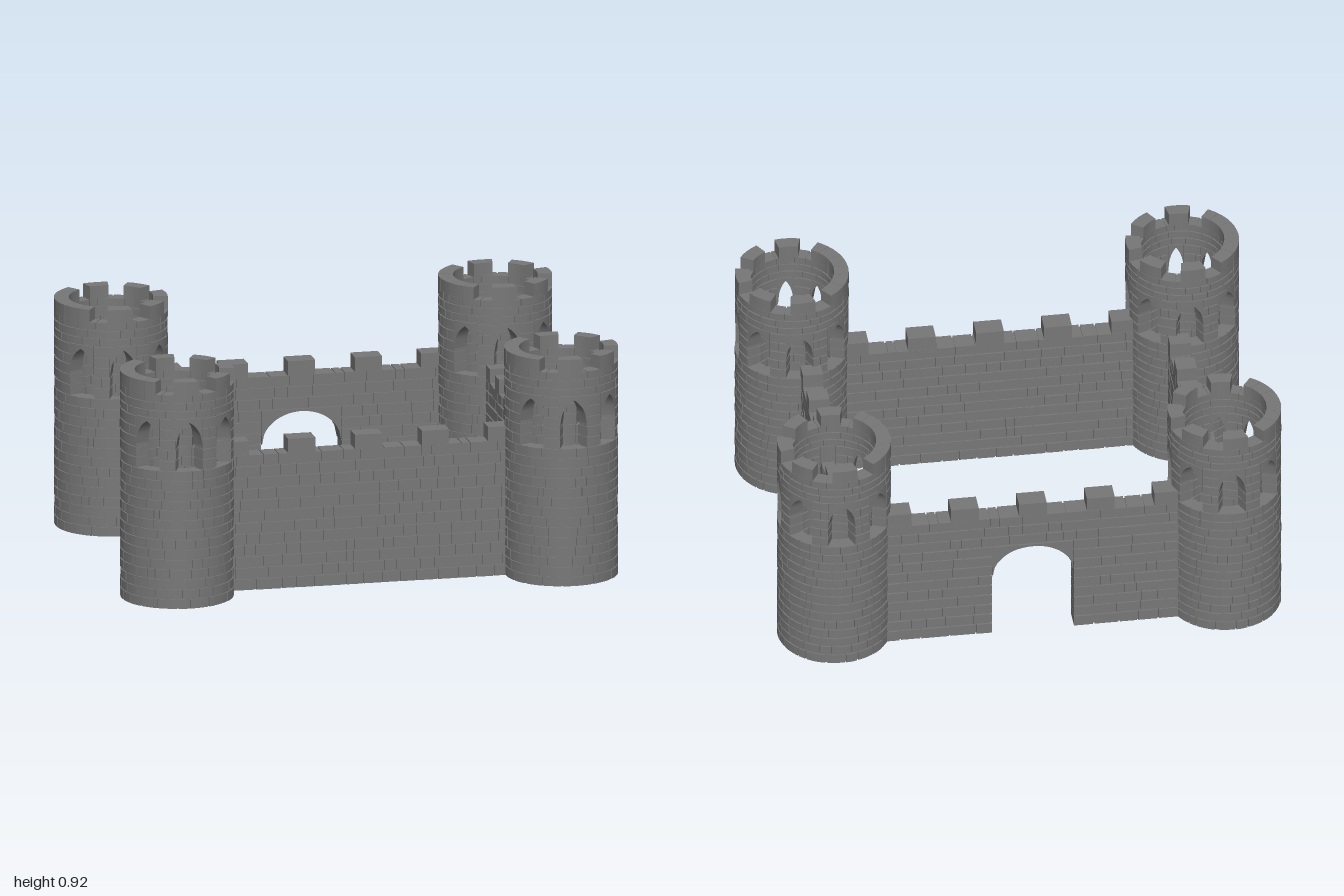
import * as THREE from 'three';
import { mergeGeometries } from 'three/addons/utils/BufferGeometryUtils.js';

const stone = new THREE.MeshStandardMaterial({ color: 0x777777 });
const GAP = 0.006;      // joint between stones
const RECESS = 0.007;   // depth of the joints

let seed = 7;
const rand = () => (seed = (seed * 16807) % 2147483647) / 2147483647;

const mesh = (geometry, name) => {
  const m = new THREE.Mesh(geometry, stone);
  m.name = name;
  return m;
};

// One stone from u0 to u1 along the course; bottom may be a rule of u.
// place(u, d) gives [x, z] for a position along the course and depth d (-0.5 to 0.5).
function brick(u0, u1, bottom, top, place, n = 1, depth = 1 + (rand() - 0.5) * 0.08) {
  const g = new THREE.BoxGeometry(1, 1, 1, n, 1, 1);
  const p = g.attributes.position;
  for (let i = 0; i < p.count; i++) {
    const u = u0 + (u1 - u0) * (p.getX(i) + 0.5);
    const low = typeof bottom === 'function' ? bottom(u) : bottom;
    const y = p.getY(i) < 0 ? low : top;
    const [x, z] = place(u, p.getZ(i) * depth);
    p.setXYZ(i, x, y, z);
  }
  g.computeVertexNormals();
  return g;
}

// A course of stones of uneven length
function course(out, u0, u1, y0, y1, size, place, n, gap) {
  const count = Math.max(1, Math.round((u1 - u0) / size));
  const step = (u1 - u0) / count;
  let a = u0;
  for (let i = 1; i <= count; i++) {
    const b = i === count ? u1 : u0 + step * (i + (rand() - 0.5) * 0.7);
    out.push(brick(a + gap / 2, b - gap / 2, y0 + (y0 > 0 ? GAP / 2 : 0), y1 - GAP / 2, place, n));
    a = b;
  }
}

// ---- Towers (angles run from +z towards +x) ----
const R_OUT = 0.225, R_IN = 0.165, SILL = 0.56, SPRING = 0.655, APEX = 0.755;
const BAND = 0.77, PARAPET = 0.87, TOP = 0.92;
const BAY = Math.PI / 4, HALF = 0.212, SPLAY = 0.06;

const ringPlace = (a, d) => {
  const r = (R_OUT + R_IN) / 2 + d * (R_OUT - R_IN - 0.003);
  return [r * Math.sin(a), r * Math.cos(a)];
};

// Like ringPlace, but a part of half-angle half about mid widens outwards by splay
const splayed = (mid, half, splay) => (a, d) =>
  ringPlace(mid + (a - mid) * (1 + (splay * d) / half), d);

// Recessed ring behind the joints
function ringCore(y0, y1) {
  const a = R_IN + RECESS, b = R_OUT - RECESS;
  const pts = [[a, y0], [b, y0], [b, y0], [b, y1], [b, y1], [a, y1], [a, y1], [a, y0]];
  return new THREE.LatheGeometry(pts.map(([x, y]) => new THREE.Vector2(x, y)), 48);
}

function makeTowerParts() {
  const rings = [], piers = [], arches = [], merlons = [];
  const courses = (y0, y1, rows) => {
    for (let r = 0; r < rows; r++) {
      const h = (y1 - y0) / rows, start = rand() * 0.3;
      course(rings, start, start + Math.PI * 2, y0 + r * h, y0 + (r + 1) * h, 0.29, ringPlace, 3, 0.026);
    }
  };
  courses(0, SILL, 14);
  courses(BAND, PARAPET, 3);

  // Courses of a pier between windows, with a recessed core
  const pier = (mid, half) => {
    const place = splayed(mid, half, -SPLAY);
    const h = (BAND - SILL) / 5, n = Math.ceil(half * 30);
    for (let r = 0; r < 5; r++) {
      course(piers, mid - half, mid + half, SILL + r * h, SILL + (r + 1) * h, r % 2 ? 0.18 : 0.3, place, 3, 0.012);
    }
    piers.push(brick(mid - half + 0.02, mid + half - 0.02, SILL - 0.01, BAND + 0.01, place, n, 0.78));
  };
  const pierHalf = BAY / 2 - HALF;
  for (let i = -1; i <= 4; i++) pier((i + 0.5) * BAY, pierHalf);
  // The -x side is closed
  pier(-Math.PI / 2, BAY - HALF);

  // Pointed arch curve over each window
  const archY = (t) =>
    SPRING + (APEX - SPRING) * Math.sqrt(Math.max(0, 4 - (Math.abs(t) + 1) ** 2)) / Math.sqrt(3);
  for (let i = -1; i <= 5; i++) {
    const mid = i * BAY;
    const place = splayed(mid, HALF, SPLAY);
    const head = (u) => archY((u - mid) / HALF);
    for (const s of [-1, 0]) {
      arches.push(brick(mid + s * HALF, mid + (s + 1) * HALF, head, BAND, place, 8));
    }
  }

  // Five merlons around +x and a long one on the closed side
  for (let k = -2; k <= 2; k++) {
    const c = Math.PI / 2 + k * 0.815;
    merlons.push(brick(c - 0.227, c + 0.227, PARAPET - GAP, TOP, ringPlace, 4));
  }
  course(merlons, -Math.PI / 2 - 0.96, -Math.PI / 2 + 0.96, PARAPET - GAP, TOP, 0.32, ringPlace, 3, 0.008);

  return {
    shaftCore: ringCore(0, SILL - 0.003),
    parapetCore: ringCore(BAND, PARAPET - 0.005),
    towerStones: mergeGeometries(rings),
    windowPiers: mergeGeometries(piers),
    windowArches: mergeGeometries(arches),
    towerMerlons: mergeGeometries(merlons),
  };
}

// ---- Curtain walls ----
const WALL_H = 0.55, ROWS = 12, THICK = 0.08;
const GATE = 0.16, GATE_SPRING = 0.27, GATE_RISE = 0.13;
const wallPlace = (u, d) => [u, d * THICK];

function makeWall(name, half, pitch, merlonWidth, gate) {
  const wall = new THREE.Group();
  wall.name = name;
  const stones = [], merlons = [];
  const h = WALL_H / ROWS, lintelRows = 9;

  for (let r = 0; r < ROWS; r++) {
    const spans = gate && r < lintelRows ? [[-half, -GATE], [GATE, half]] : [[-half, half]];
    for (const [a, b] of spans) course(stones, a, b, r * h, (r + 1) * h, 0.08, wallPlace, 1, GAP);
  }
  // Stones over the gate, cut to its arch
  if (gate) {
    const archY = (u) => GATE_SPRING + GATE_RISE * Math.sqrt(Math.max(0, 1 - (u / GATE) ** 2));
    for (let i = 0; i < 6; i++) {
      const a = -GATE + (i * GATE) / 3;
      stones.push(brick(a, a + GATE / 3, archY, lintelRows * h - GAP / 2, wallPlace, 6));
    }
  }
  for (let i = -2; i <= 2; i++) {
    const c = Math.max(-half + merlonWidth / 2, Math.min(half - merlonWidth / 2, i * pitch));
    merlons.push(brick(c - merlonWidth / 2, c + merlonWidth / 2, WALL_H - GAP, 0.605, wallPlace));
  }

  // Recessed core, open at the gate
  const s = new THREE.Shape();
  s.moveTo(-half, 0);
  if (gate) {
    const g = GATE + RECESS;
    s.lineTo(-g, 0);
    s.lineTo(-g, GATE_SPRING);
    s.absellipse(0, GATE_SPRING, g, GATE_RISE + RECESS, Math.PI, 0, true);
    s.lineTo(g, 0);
  }
  s.lineTo(half, 0);
  s.lineTo(half, WALL_H - RECESS);
  s.lineTo(-half, WALL_H - RECESS);
  const depth = THICK - 2 * RECESS;
  const core = new THREE.ExtrudeGeometry(s, { depth, bevelEnabled: false, curveSegments: 24 });
  core.translate(0, 0, -depth / 2);

  wall.add(mesh(core, 'wallCore'), mesh(mergeGeometries(stones), 'wallStones'),
    mesh(mergeGeometries(merlons), 'wallMerlons'));
  return wall;
}

export function createModel() {
  seed = 7;
  const castle = new THREE.Group();
  castle.name = 'castle';

  // Four corner towers
  const parts = makeTowerParts();
  for (const [sx, side] of [[1, 'Left'], [-1, 'Right']]) {
    for (const [sz, end] of [[1, 'front'], [-1, 'back']]) {
      const tower = new THREE.Group();
      tower.name = `${end}${side}Tower`;
      for (const [name, geometry] of Object.entries(parts)) tower.add(mesh(geometry, name));
      tower.position.set(sx * 0.775, 0, sz * 0.575);
      castle.add(tower);
    }
  }

  // Front wall, back wall with the gate, and the two side walls
  const front = makeWall('frontWall', 0.592, 0.27, 0.11, false);
  front.position.z = 0.53;
  const back = makeWall('backWall', 0.592, 0.27, 0.11, true);
  back.position.z = -0.64;
  castle.add(front, back);
  for (const [sx, name] of [[1, 'leftWall'], [-1, 'rightWall']]) {
    const wall = makeWall(name, 0.39, 0.17, 0.07, false);
    wall.rotation.y = Math.PI / 2;
    wall.position.x = sx * 0.73;
    castle.add(wall);
  }
  return castle;
}
